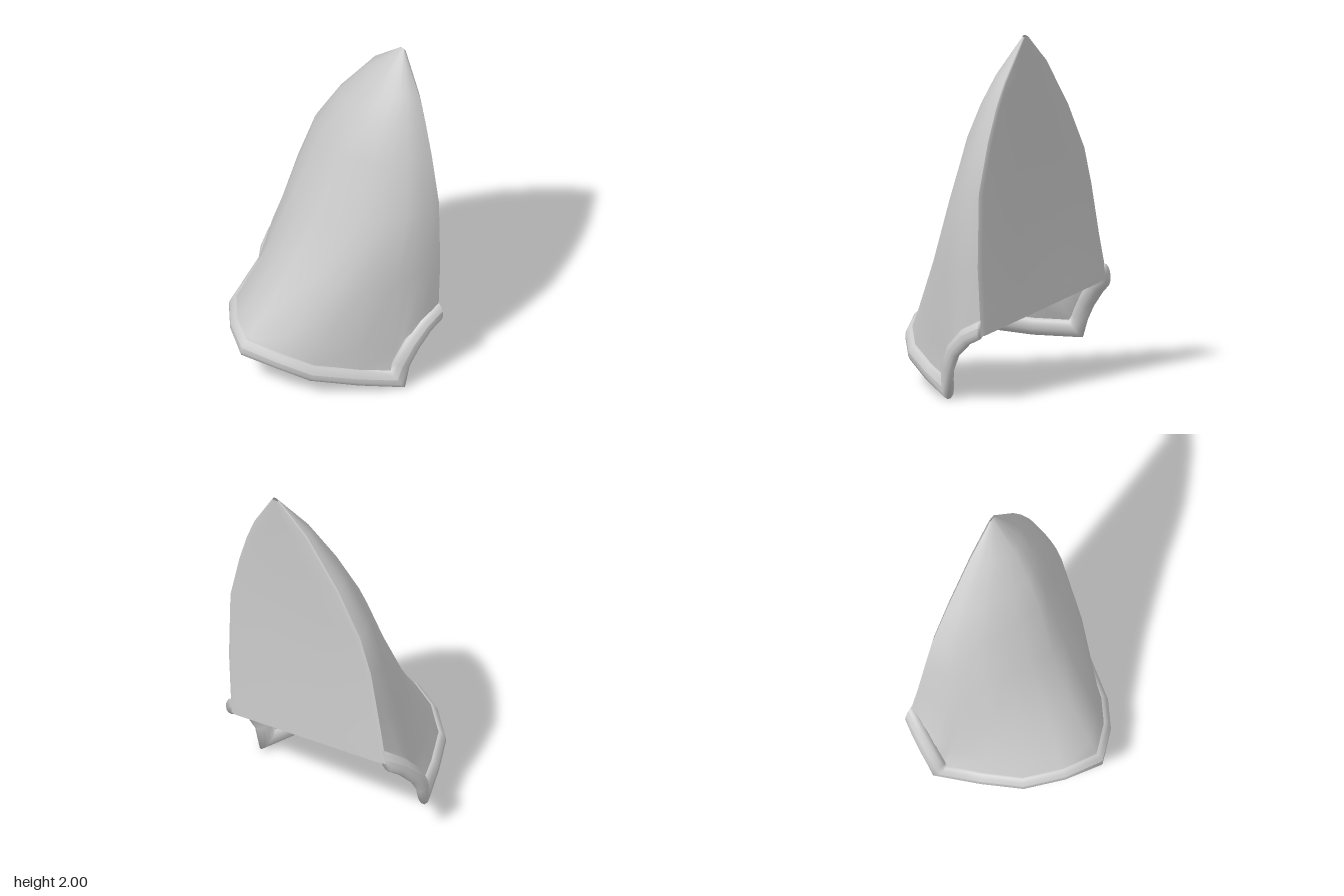
import * as THREE from 'three';

const V = (a) => new THREE.Vector3(...a);
const mat = new THREE.MeshStandardMaterial({ color: 0xcccccc, side: THREE.DoubleSide });

// Guide curves above the hem, bottom to top: front ridge, left and right back edges
const ridge = [[.05, .67, .2], [.1, 1, .04], [.16, 1.4, -.1], [.19, 1.6, -.2], [.22, 1.78, -.31], [.24, 2, -.48]].map(V);
const leftEdge = [[.6, .75, -.435], [.59, 1.16, -.435], [.52, 1.44, -.445], [.46, 1.62, -.455], [.4, 1.76, -.465], [.258, 1.99, -.48]].map(V);
const rightEdge = [[-.46, .8, -.455], [-.4, 1.08, -.45], [-.33, 1.29, -.455], [-.18, 1.55, -.46], [.03, 1.83, -.47], [.218, 1.99, -.48]].map(V);

// Centre line of the hem on each side, from the back corner to the ridge
const rightHem = [[-.515, .555, -.465], [-.55, .48, -.37], [-.575, .38, -.28], [-.58, .29, -.23], [-.575, .22, -.21], [-.47, .225, 0], [-.36, .25, .2], [-.19, .275, .345], [-.01, .275, .44]].map(V);
const leftHem = [[.58, .41, -.44], [.58, .36, -.34], [.575, .275, -.25], [.555, .16, -.19], [.535, .055, -.18], [.435, .1, .01], [.295, .165, .23], [.165, .235, .35], [-.01, .275, .44]].map(V);

// Column positions from back corner to ridge, and how far the shell sits above the hem centre
const columns = [0, .06, .13, .2, .3, .5, .68, .85, 1];
const rise = [0, 0, 0, 0, .02, .035, .04, .04, .04];

// Smooth sheet through rows of equal length
function sheet(name, rows) {
  const n = rows[0].length;
  const index = [];
  for (let j = 0; j < rows.length - 1; j++) {
    for (let i = 0; i < n - 1; i++) {
      const a = j * n + i, b = a + 1, c = b + n, d = a + n;
      index.push(a, b, c, a, c, d);
    }
  }
  const geo = new THREE.BufferGeometry().setFromPoints(rows.flat());
  geo.setIndex(index);
  geo.computeVertexNormals();
  const mesh = new THREE.Mesh(geo, mat);
  mesh.name = name;
  return mesh;
}

// Rows of one bowed half of the front; the flare opens only around the hem corner
function halfRows(edge, hem, flare) {
  const rows = edge.map((e, j) => {
    const c = ridge[j];
    const ctrl = new THREE.Vector3(
      e.x + .04 * (c.x - e.x), (e.y + c.y) / 2, e.z + .77 * (c.z - e.z));
    const curve = new THREE.QuadraticBezierCurve3(e, ctrl, c);
    return columns.map((t) => curve.getPoint(t));
  });
  const foot = hem.map((p, i) => p.clone().add(new THREE.Vector3(0, rise[i], 0)));
  const waist = foot.map((p, i) => {
    const pull = 1 - flare * Math.sin(Math.PI * Math.min(1, columns[i] / .55));
    return p.clone().lerp(rows[0][i], .25).multiply(new THREE.Vector3(pull, 1, pull));
  });
  return [foot, waist, ...rows];
}

// Rounded band swept along the hem, mitred at its corners and cut flat at the back
function hemBand(path) {
  const sides = 12, last = path.length - 1;
  const rings = path.map((p, i) => {
    const din = p.clone().sub(path[Math.max(i - 1, 0)]).normalize();
    const dout = path[Math.min(i + 1, last)].clone().sub(p).normalize();
    const dir = din.clone().add(dout).normalize();
    if (i === 0 || i === last) dir.set(0, 0, i ? -1 : 1);
    const miter = Math.min(1.5, 1 / Math.max(dir.dot(dout), dir.dot(din)));
    const out = new THREE.Vector3(p.x, 0, p.z + .45).normalize();
    out.y = .3;
    out.addScaledVector(dir, -out.dot(dir)).normalize();
    const across = dir.clone().cross(out);
    return Array.from({ length: sides + 1 }, (_, k) => {
      const a = k / sides * Math.PI * 2;
      return p.clone()
        .addScaledVector(out, .036 * Math.cos(a))
        .addScaledVector(across, .05 * miter * Math.sin(a));
    });
  });
  const cap = (p) => Array.from({ length: sides + 1 }, () => p.clone());
  return sheet('rolledHem', [cap(path[0]), ...rings, cap(path[last])]);
}

export function createModel() {
  const model = new THREE.Group();
  model.name = 'pointedHood';

  // Front shell with a soft ridge
  const right = halfRows(rightEdge, rightHem, .1);
  const left = halfRows(leftEdge, leftHem, .03);
  model.add(sheet('frontShell', right.map((row, j) =>
    [...row, ...left[j].slice(0, -1).reverse()])));

  // Flat back panel with a narrow bevelled border
  const backRows = right.map((row, j) => {
    const l = left[j][0].clone(), r = row[0].clone();
    if (j === 0) {
      l.y -= .04;
      r.y -= .02;
    }
    return [0, .03, .3, .5, .7, .97, 1].map((t) => {
      const p = l.clone().lerp(r, t);
      if (t > 0 && t < 1) p.z -= .01;
      return p;
    });
  });
  model.add(sheet('backPanel', backRows));

  // Thick rolled hem around the front and sides
  model.add(hemBand([...rightHem, ...leftHem.slice(0, -1).reverse()]));

  return model;
}
